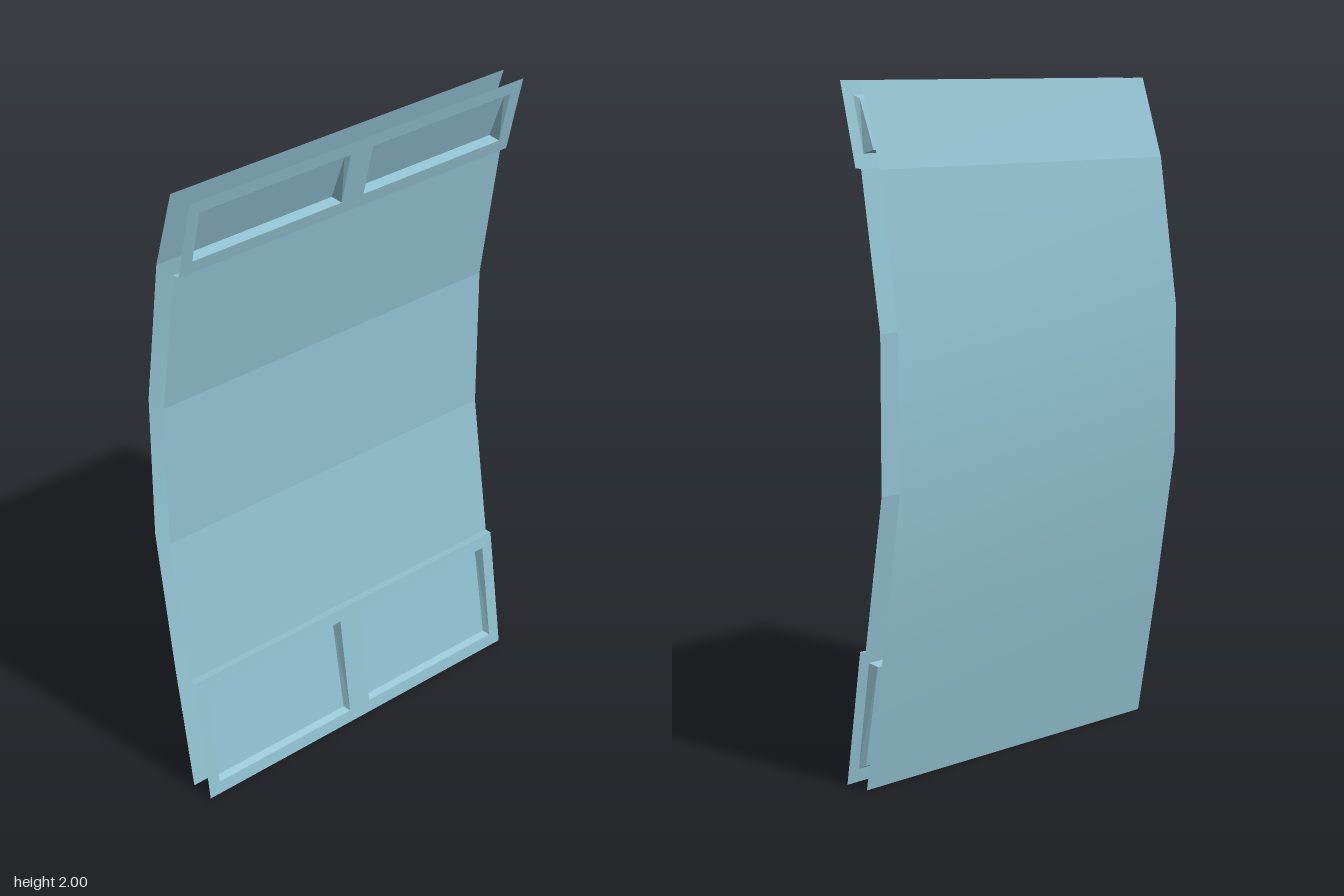
import * as THREE from 'three';

const W = 0.6; // half width

const material = new THREE.MeshStandardMaterial({ color: 0x90c0d0, side: THREE.DoubleSide });
const flatMaterial = material.clone();
flatMaterial.flatShading = true;

function addMesh(parent, name, geometry, mat) {
  const mesh = new THREE.Mesh(geometry, mat);
  mesh.name = name;
  parent.add(mesh);
}

// Full-width sheet swept through [y, z] points; facing back reverses the faces
function sheet(profile, facesBack = false) {
  const pos = [], index = [];
  profile.forEach(([y, z], i) => {
    pos.push(-W, y, z, W, y, z);
    if (i === 0) return;
    const a = 2 * i - 2;
    if (facesBack) index.push(a, a + 2, a + 1, a + 1, a + 2, a + 3);
    else index.push(a, a + 1, a + 2, a + 1, a + 3, a + 2);
  });
  const g = new THREE.BufferGeometry();
  g.setAttribute('position', new THREE.Float32BufferAttribute(pos, 3));
  g.setIndex(index);
  g.computeVertexNormals();
  return g;
}

function rectangle(Path, x0, y0, x1, y1) {
  return new Path([[x0, y0], [x1, y0], [x1, y1], [x0, y1]].map(([x, y]) => new THREE.Vector2(x, y)));
}

// Tray behind an opening: four tapered walls and a flat bottom
function recess(x0, x1, y0, y1, rimZ, floorZ) {
  const t = 0.01;
  const pos = [
    x0, y0, rimZ(y0), x1, y0, rimZ(y0), x1, y1, rimZ(y1), x0, y1, rimZ(y1),
    x0 + t, y0 + t, floorZ[0], x1 - t, y0 + t, floorZ[0],
    x1 - t, y1 - t, floorZ[1], x0 + t, y1 - t, floorZ[1],
  ];
  const index = [4, 5, 6, 4, 6, 7];
  for (let i = 0; i < 4; i++) {
    const j = (i + 1) % 4;
    index.push(i, j, j + 4, i, j + 4, i + 4);
  }
  const g = new THREE.BufferGeometry();
  g.setAttribute('position', new THREE.Float32BufferAttribute(pos, 3));
  g.setIndex(index);
  const flat = g.toNonIndexed();
  flat.computeVertexNormals();
  return flat;
}

// Sloping frame with two openings, each closed by a recessed tray
function windowFrame(name, y0, y1, z0, z1, floorZ) {
  const group = new THREE.Group();
  group.name = name;
  const slope = (y) => z0 + ((z1 - z0) * (y - y0)) / (y1 - y0);
  const shape = rectangle(THREE.Shape, -W, y0, W, y1);
  const border = 0.04;
  for (const side of [-1, 1]) {
    const xs = [side * border, side * (W - border)].sort((a, b) => a - b);
    shape.holes.push(rectangle(THREE.Path, xs[0], y0 + border, xs[1], y1 - border));
    addMesh(group, side > 0 ? 'leftRecess' : 'rightRecess',
      recess(xs[0], xs[1], y0 + border, y1 - border, slope, floorZ), flatMaterial);
  }
  const g = new THREE.ShapeGeometry(shape);
  const p = g.attributes.position;
  for (let i = 0; i < p.count; i++) p.setZ(i, slope(p.getY(i)));
  g.computeVertexNormals();
  addMesh(group, 'frameFace', g, flatMaterial);
  return group;
}

export function createModel() {
  const model = new THREE.Group();
  model.name = 'curvedWallPanel';

  // Framed bands at the bottom and the top
  model.add(windowFrame('lowerFrame', 0, 0.4, 0.11, 0.052, [0.085, 0.032]));
  model.add(windowFrame('upperFrame', 1.76, 2, 0.052, 0.11, [0.032, 0.085]));

  // Faceted inner skin, with a ledge up to each frame
  addMesh(model, 'frontSkin', sheet([
    [0.4, 0.052], [0.4, 0.03], [0.855, -0.04], [1.31, -0.04], [1.76, 0.03], [1.76, 0.052],
  ]), flatMaterial);

  // Outer skin: smooth bend with a sharp crease below the top band
  addMesh(model, 'backSkin', sheet([
    [0, 0.03], [0.4, -0.04], [0.855, -0.11], [1.31, -0.11], [1.76, -0.045],
  ], true), material);
  addMesh(model, 'backTopBand', sheet([[1.76, -0.045], [2, 0.03]], true), flatMaterial);

  return model;
}
